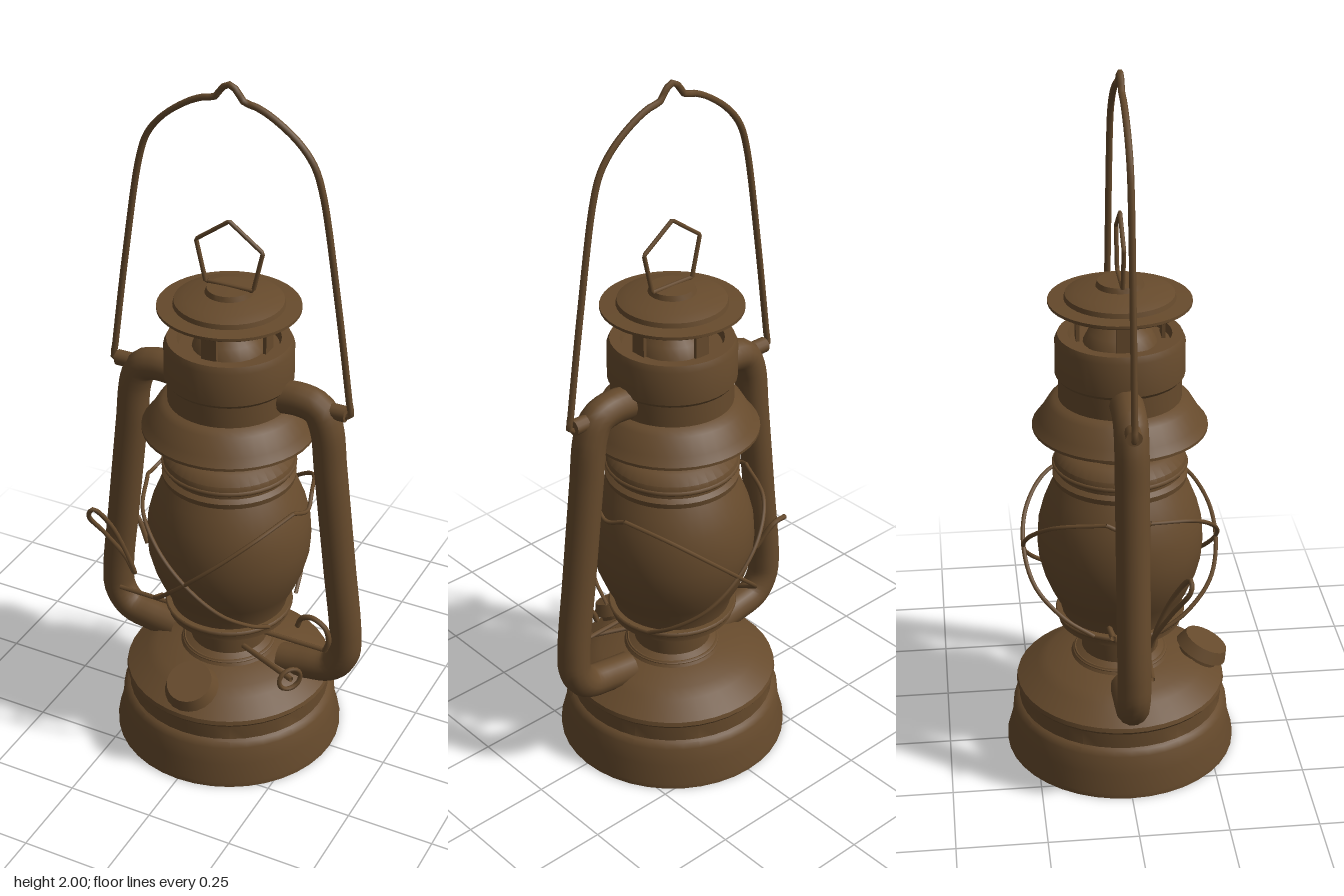
import * as THREE from 'three';
import { toCreasedNormals } from 'three/addons/utils/BufferGeometryUtils.js';

const bronze = new THREE.MeshStandardMaterial({ color: 0x664a2c, side: THREE.DoubleSide });
bronze.name = 'bronze';

export function createModel() {
  const lantern = new THREE.Group();
  lantern.name = 'lantern';

  const add = (name, geometry, parent = lantern) => {
    const mesh = new THREE.Mesh(geometry, bronze);
    mesh.name = name;
    parent.add(mesh);
    return mesh;
  };
  // Turned part from [radius, height] pairs, bottom to top
  const turned = (name, profile, segments = 40) => {
    const points = profile.map(([r, y]) => new THREE.Vector2(r, y));
    return add(name, toCreasedNormals(new THREE.LatheGeometry(points, segments), 0.6));
  };
  // Round bar along a curve through the points
  const bar = (name, points, radius, { closed = false, sharp = false, steps = 48, sides = 6 } = {}) => {
    const v = points.map((p) => new THREE.Vector3(...p));
    let path;
    if (sharp) {
      path = new THREE.CurvePath();
      for (let i = 1; i < v.length; i++) path.add(new THREE.LineCurve3(v[i - 1], v[i]));
      if (closed) path.add(new THREE.LineCurve3(v[v.length - 1], v[0]));
    } else {
      path = new THREE.CatmullRomCurve3(v, closed, 'centripetal');
    }
    return add(name, new THREE.TubeGeometry(path, steps, radius, sides, closed));
  };
  const ring = (name, radius, y, thickness) => {
    const mesh = add(name, new THREE.TorusGeometry(radius, thickness, 6, 40));
    mesh.rotation.x = Math.PI / 2;
    mesh.position.y = y;
    return mesh;
  };

  // Fuel tank with flared foot and sloping shoulder
  turned('fuelTank', [
    [0, 0], [0.33, 0], [0.33, 0.015], [0.315, 0.07], [0.31, 0.125], [0.3, 0.14],
    [0.292, 0.145], [0.292, 0.19], [0.3, 0.2], [0.297, 0.212], [0.24, 0.25],
    [0.21, 0.268], [0.14, 0.285], [0.13, 0.3], [0, 0.3],
  ]);

  // Burner and globe plate
  turned('burner', [
    [0.135, 0.28], [0.135, 0.295], [0.11, 0.31], [0.11, 0.385], [0.13, 0.4],
    [0.175, 0.405], [0.175, 0.415], [0.18, 0.43], [0.18, 0.437], [0.16, 0.437], [0, 0.437],
  ]);

  // Globe
  turned('globe', [
    [0.165, 0.435], [0.172, 0.465], [0.195, 0.51], [0.215, 0.56], [0.228, 0.61],
    [0.232, 0.66], [0.228, 0.72], [0.215, 0.77], [0.195, 0.82], [0.172, 0.86],
  ]);

  // Collar holding the globe, up into the air chamber
  turned('globeCollar', [
    [0.165, 0.85], [0.185, 0.855], [0.187, 0.87], [0.175, 0.88], [0.175, 0.9], [0.183, 0.905],
    [0.18, 0.92], [0.155, 0.945], [0.13, 0.95], [0.13, 1.1],
  ]);

  // Hood skirt, chimney body and its rim
  turned('chimney', [
    [0.13, 1.06], [0.18, 1.06], [0.232, 1.015], [0.24, 1.01], [0.24, 1.018], [0.222, 1.04],
    [0.195, 1.085], [0.18, 1.095], [0.168, 1.1], [0.168, 1.16], [0.176, 1.17],
    [0.176, 1.265], [0.168, 1.283], [0.14, 1.283], [0.135, 1.26], [0, 1.26],
  ]);

  // Vent core and posts under the cap
  turned('ventCore', [[0.1, 1.26], [0.085, 1.29], [0.045, 1.32], [0.045, 1.37]], 24);
  for (let i = 0; i < 4; i++) {
    const holder = new THREE.Group();
    holder.name = 'ventPost';
    holder.rotation.y = i * Math.PI / 2;
    const post = add('postStrip', new THREE.BoxGeometry(0.045, 0.1, 0.01), holder);
    post.position.set(0, 1.32, 0.115);
    lantern.add(holder);
  }

  // Cap with dome and button
  turned('cap', [
    [0, 1.365], [0.12, 1.365], [0.185, 1.368], [0.193, 1.373], [0.193, 1.381], [0.15, 1.384],
    [0.147, 1.397], [0.12, 1.408], [0.065, 1.418], [0.06, 1.432], [0, 1.435],
  ]);

  // Five sided lifting ring on the cap
  bar('liftingRing', [
    [-0.07, 1.435, 0], [-0.097, 1.55, 0], [0, 1.62, 0], [0.097, 1.55, 0], [0.07, 1.435, 0],
  ], 0.006, { closed: true, sharp: true, steps: 80 });

  // Side air tubes, their ears, and the carrying handle
  for (const s of [1, -1]) {
    bar(s > 0 ? 'leftAirTube' : 'rightAirTube', [
      [0.15, 1.142, 0], [0.22, 1.145, 0], [0.265, 1.13, 0], [0.289, 1.08, 0], [0.305, 0.95, 0],
      [0.34, 0.65, 0], [0.366, 0.42, 0], [0.362, 0.35, 0], [0.325, 0.298, 0],
      [0.25, 0.28, 0], [0.17, 0.268, 0],
    ].map(([x, y, z]) => [x * s, y, z]), 0.046, { steps: 64, sides: 14 });
    const ear = add('handleEar', new THREE.CylinderGeometry(0.022, 0.022, 0.06, 12));
    ear.rotation.z = Math.PI / 2;
    ear.position.set(0.315 * s, 1.135, 0);
  }
  const half = [
    [0.325, 1.12], [0.357, 1.135], [0.352, 1.17], [0.31, 1.46], [0.26, 1.75], [0.235, 1.82],
    [0.19, 1.875], [0.12, 1.925], [0.075, 1.945], [0.04, 1.953], [0.02, 1.98],
  ];
  bar('carryingHandle', [
    ...half.map(([x, y]) => [-x, y, 0]), [0, 1.991, 0],
    ...half.reverse().map(([x, y]) => [x, y, 0]),
  ], 0.009, { steps: 110 });

  // Globe guard: crossed wires front and back, with rings above and below
  for (const z of [1, -1]) {
    for (const x of [1, -1]) {
      bar('guardWire', [
        [-0.225 * x, 0.82, 0.06 * z], [-0.17 * x, 0.79, 0.19 * z], [-0.09 * x, 0.725, 0.255 * z],
        [0, 0.645, 0.272 * z], [0.09 * x, 0.56, 0.245 * z], [0.15 * x, 0.49, 0.17 * z],
        [0.17 * x, 0.44, 0.09 * z],
      ], 0.006);
    }
  }
  for (const s of [1, -1]) {
    bar('guardSideWire', [[0.225 * s, 0.82, -0.06], [0.24 * s, 0.8, 0], [0.225 * s, 0.82, 0.06]], 0.006, { steps: 12 });
  }
  ring('upperGuardRing', 0.181, 0.9, 0.007);
  ring('lowerGuardRing', 0.176, 0.43, 0.008);

  // Cross rod under the globe plate, lift lever loop and hook
  bar('crossRod', [[-0.33, 0.393, 0.055], [0, 0.393, 0.06], [0.33, 0.388, 0.055]], 0.007, { steps: 16 });
  bar('liftLever', [
    [-0.28, 0.46, 0.055], [-0.3, 0.54, 0.07], [-0.325, 0.65, 0.11], [-0.355, 0.715, 0.15],
    [-0.37, 0.69, 0.15], [-0.345, 0.61, 0.105], [-0.305, 0.51, 0.06], [-0.285, 0.455, 0.05],
  ], 0.007, { closed: true });
  bar('leverPivot', [[-0.39, 0.57, -0.06], [-0.34, 0.57, -0.065], [-0.29, 0.5, -0.045]], 0.008, { steps: 16 });
  bar('leverHook', [
    [0.24, 0.44, 0.05], [0.255, 0.475, 0.055], [0.29, 0.49, 0.06], [0.33, 0.47, 0.062],
    [0.342, 0.43, 0.062], [0.33, 0.39, 0.06],
  ], 0.008, { steps: 30 });

  // Wick adjuster: shaft and thumb ring
  bar('wickShaft', [[0.08, 0.33, 0.07], [0.27, 0.33, 0.15]], 0.008, { steps: 4 });
  const wheel = add('wickRing', new THREE.TorusGeometry(0.033, 0.007, 6, 20));
  wheel.position.set(0.265, 0.33, 0.15);
  wheel.rotation.y = 0.9;

  // Tilted filler cap on the shoulder
  const filler = new THREE.Group();
  filler.name = 'fillerCap';
  filler.position.set(0, 0.275, 0.24);
  filler.rotation.x = 0.45;
  const lid = add('fillerLid', new THREE.CylinderGeometry(0.065, 0.078, 0.035, 20), filler);
  lid.position.y = 0.01;
  const neck = add('fillerNeck', new THREE.CylinderGeometry(0.06, 0.06, 0.05, 20), filler);
  neck.position.y = -0.03;
  lantern.add(filler);

  return lantern;
}
